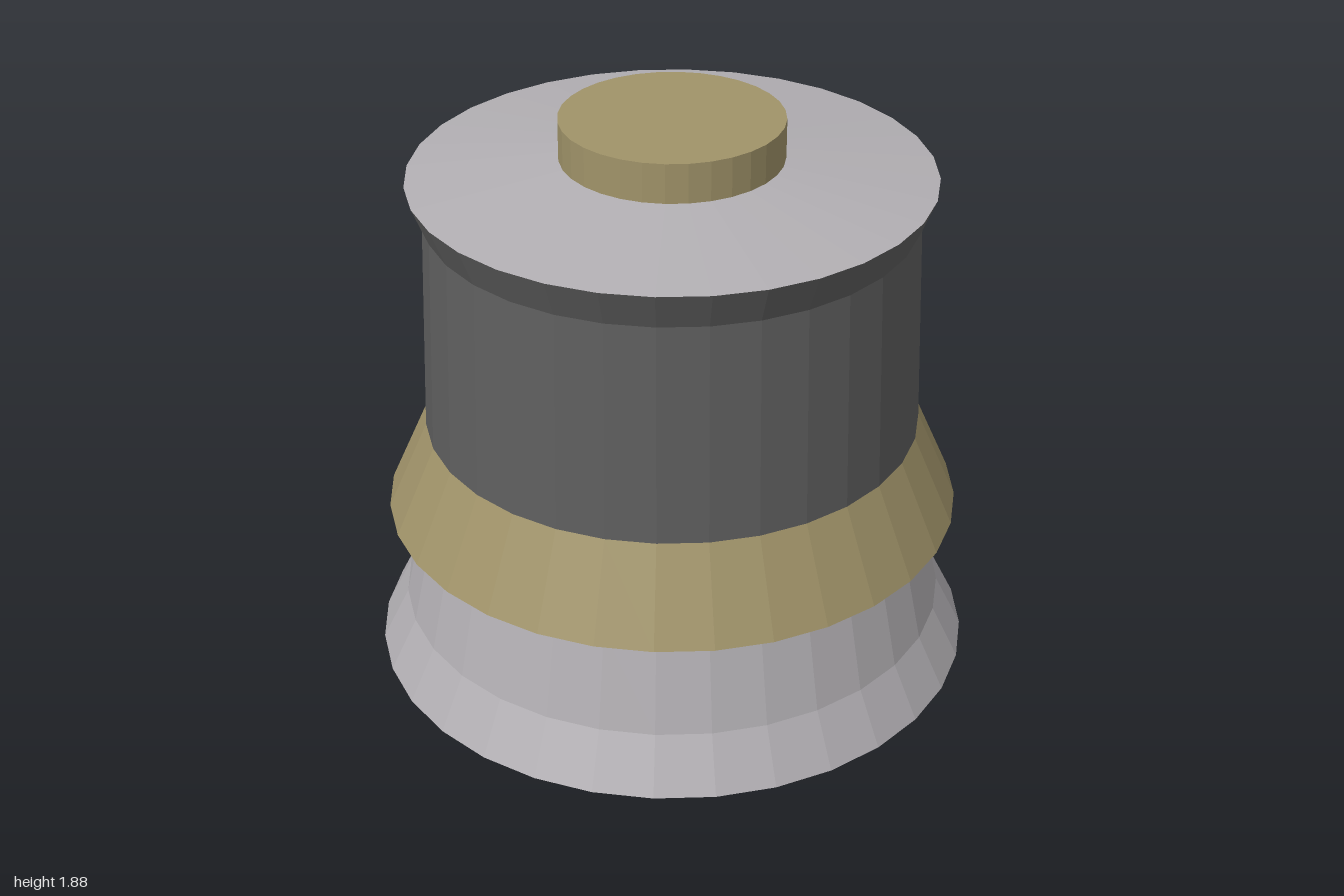
import * as THREE from 'three';

const SIDES = 32;

const paint = (name, color) => {
  const m = new THREE.MeshStandardMaterial({ color });
  m.name = name;
  return m;
};

// Faceted turned part; the profile is [radius, height] pairs running up the outside
function turned(name, material, profile) {
  const points = profile.map(([r, y]) => new THREE.Vector2(r, y));
  const geometry = new THREE.LatheGeometry(points, SIDES).toNonIndexed();
  geometry.computeVertexNormals();
  const mesh = new THREE.Mesh(geometry, material);
  mesh.name = name;
  return mesh;
}

export function createModel() {
  const grey = paint('light grey', 0xb2afb3);
  const dark = paint('dark grey', 0x5f5f5f);
  const gold = paint('dull gold', 0xa09369);

  const model = new THREE.Group();
  model.name = 'turnedDrum';
  model.add(
    // Underside and flared foot
    turned('underside', dark, [[0, 0], [1, 0]]),
    turned('foot', grey, [[1, 0], [0.91, 0.18], [0.84, 0.505]]),
    // Sloping collar with a narrow lip beneath
    turned('collar', gold, [[0.84, 0.505], [0.95, 0.53], [0.815, 0.835]]),
    // Tapered drum with a flared rim
    turned('drum', dark, [[0.815, 0.835], [0.79, 1.565], [0.84, 1.69]]),
    // Shallow lid and central knob
    turned('lid', grey, [[0.84, 1.69], [0.357, 1.75]]),
    turned('knob', gold, [[0.357, 1.75], [0.357, 1.88], [0, 1.88]]),
  );
  return model;
}
